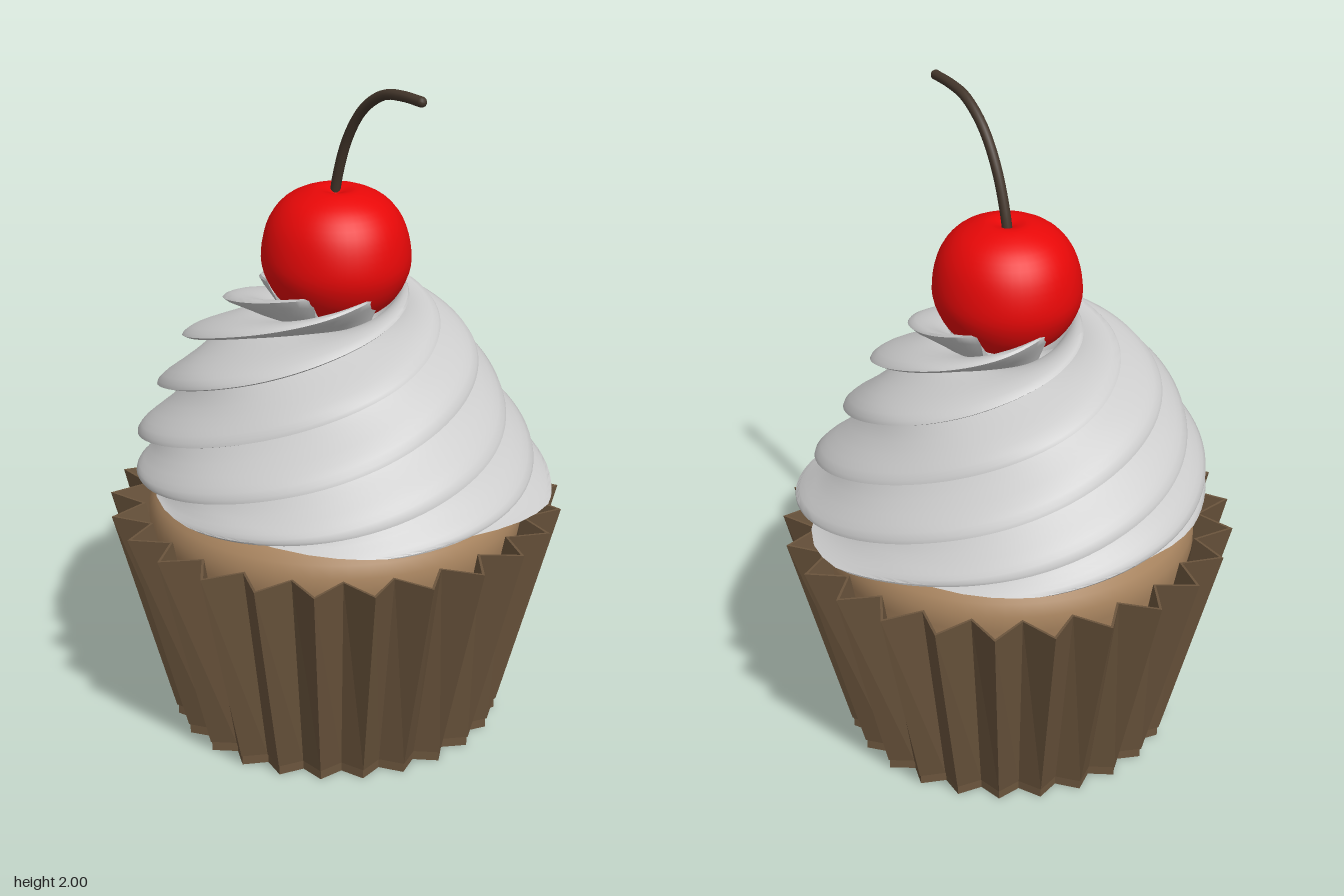
import * as THREE from 'three';
import { toCreasedNormals } from 'three/addons/utils/BufferGeometryUtils.js';

const V2 = (x, y) => new THREE.Vector2(x, y);

function mesh(name, geometry, color, options = {}) {
  const m = new THREE.Mesh(geometry, new THREE.MeshStandardMaterial({ color, ...options }));
  m.name = name;
  return m;
}

// Skin closed rings of equal length, listed from bottom to top
function skin(rings) {
  const n = rings[0].length, index = [];
  for (let j = 0; j < rings.length - 1; j++) {
    for (let i = 0; i < n; i++) {
      const a = j * n + i, b = j * n + (i + 1) % n;
      index.push(a, a + n, b + n, a, b + n, b);
    }
  }
  const g = new THREE.BufferGeometry();
  g.setAttribute('position', new THREE.Float32BufferAttribute(rings.flat(2), 3));
  g.setIndex(index);
  g.computeVertexNormals();
  return g;
}

// Pleated paper case: 25 pointed folds, with a short upright foot and a floor
function wrapperGeometry() {
  const folds = 25;
  const ring = (y, tip, valley) => Array.from({ length: folds * 2 }, (_, i) => {
    const a = i * Math.PI / folds, r = i % 2 ? valley : tip;
    return [r * Math.cos(a), y, r * Math.sin(a)];
  });
  return skin([
    ring(0, 0, 0), ring(0, 0.495, 0.445), ring(0.03, 0.495, 0.445), ring(0.03, 0.5, 0.45),
    ring(0.69, 0.678, 0.58), ring(0.69, 0.665, 0.57), ring(0.05, 0.49, 0.44),
  ]);
}

// Whipped swirl: six hooked ribs that twist up the dome and end in points
function frostingGeometry() {
  const arms = 6, rows = 80, twist = 5.6;
  // One rib: [phase along the arm, height of the rib from 0 to 1]
  const rib = [[0, 0], [-0.03, 0.35], [-0.05, 0.75], [-0.02, 0.97], [0.06, 1],
    [0.17, 0.93], [0.28, 0.82], [0.42, 0.62], [0.6, 0.36], [0.8, 0.13]];
  const dome = new THREE.SplineCurve([
    V2(0.585, 0.765), V2(0.59, 0.83), V2(0.56, 0.94), V2(0.5, 1.06),
    V2(0.44, 1.18), V2(0.345, 1.28), V2(0.26, 1.345), V2(0.2, 1.385),
  ]);
  const rings = [];
  for (let j = 0; j <= rows; j++) {
    const t = j / rows, p = dome.getPoint(t), ring = [];
    const depth = 0.06 + 0.025 * Math.sin(Math.PI * t);
    for (let k = 0; k < arms; k++) {
      for (const [phase, height] of rib) {
        const a = (k + phase) / arms * Math.PI * 2 + twist * (1 - t);
        // The first turn flares out and dips a little at the back
        const flare = 0.075 * Math.max(0, Math.cos(a + 1)) ** 2 * (1 - t) ** 5 * height;
        const r = p.x - depth * (1 - height) + flare;
        const tilt = -0.02 * Math.cos(a + 0.8) * (1 - t) ** 3;
        // Towards the top the grooves sink, leaving the rib ends as points
        const y = p.y + tilt - 0.13 * (1 - height) * t ** 5;
        // The middle of the dome leans slightly left and forward
        const lean = 0.015 * Math.sin(Math.PI * t);
        ring.push([r * Math.cos(a) - lean, y, r * Math.sin(a) + lean]);
      }
    }
    rings.push(ring);
  }
  // Close the underside and the hollow top
  const pull = (ring, s, y) => ring.map(([x, , z]) => [x * s, y, z * s]);
  rings.unshift(pull(rings[0], 0.6, 0.77));
  rings.push(pull(rings[rows + 1], 0.6, 1.27), pull(rings[rows + 1], 0, 1.26));
  return toCreasedNormals(skin(rings), 0.9);
}

export function createModel() {
  const group = new THREE.Group();
  group.name = 'cupcake';

  group.add(mesh('wrapper', wrapperGeometry(), 0x6b553d,
    { flatShading: true, side: THREE.DoubleSide }));

  // Sponge with a rounded crown
  const cake = [V2(0, 0.04), V2(0.42, 0.04), V2(0.56, 0.64), V2(0.56, 0.69), V2(0.545, 0.725),
    V2(0.515, 0.76), V2(0.475, 0.782), V2(0.4, 0.79), V2(0, 0.79)];
  group.add(mesh('cake', toCreasedNormals(new THREE.LatheGeometry(cake, 64), 0.7), 0xa8845f));

  group.add(mesh('frosting', frostingGeometry(), 0xcccccc, { side: THREE.DoubleSide }));

  // Cherry with a dimple for the stem
  const cherryProfile = new THREE.SplineCurve([
    V2(0, 1.265), V2(0.09, 1.28), V2(0.17, 1.33), V2(0.215, 1.405), V2(0.222, 1.475),
    V2(0.2, 1.56), V2(0.15, 1.622), V2(0.075, 1.655), V2(0.03, 1.65), V2(0, 1.635),
  ]).getPoints(32);
  cherryProfile.forEach((p) => { p.x = Math.max(0, p.x); });
  const cherry = mesh('cherry', new THREE.LatheGeometry(cherryProfile, 48), 0xe80808);
  cherry.scale.z = 0.96;
  cherry.position.x = 0.003;
  group.add(cherry);

  // Curved stem with rounded tip
  const path = new THREE.CatmullRomCurve3(
    [[-0.02, 1.62], [-0.005, 1.69], [0.04, 1.81], [0.11, 1.91], [0.2, 1.97], [0.28, 1.984], [0.36, 1.985]]
      .map(([x, y]) => new THREE.Vector3(x, y, -0.012)));
  const stem = new THREE.Group();
  stem.name = 'stem';
  stem.add(mesh('stemStalk', new THREE.TubeGeometry(path, 32, 0.015, 10), 0x43362b));
  const tip = mesh('stemTip', new THREE.SphereGeometry(0.015, 10, 8), 0x43362b);
  tip.position.copy(path.getPoint(1));
  stem.add(tip);
  group.add(stem);

  return group;
}
